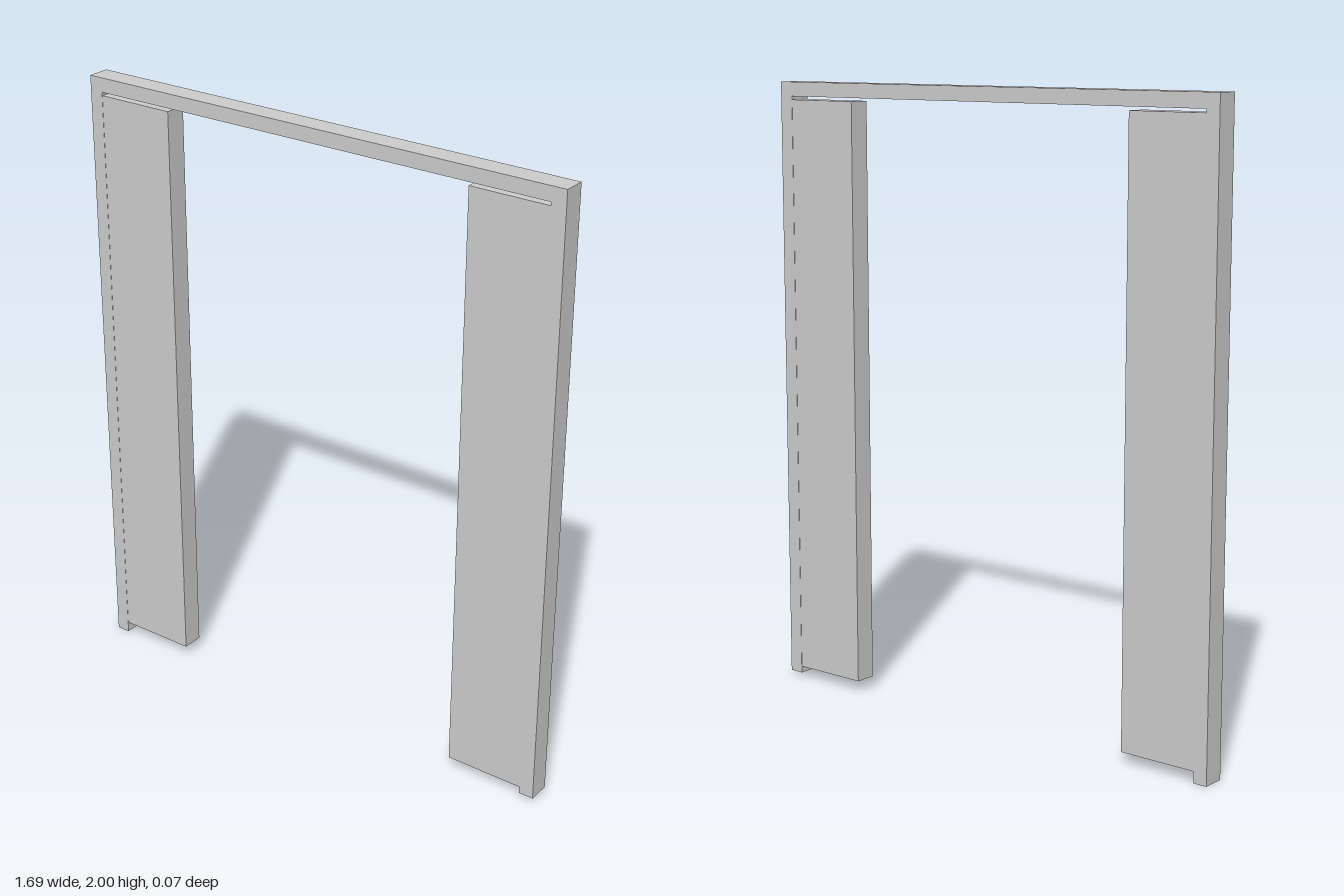
import * as THREE from 'three';

const DEPTH = 0.073;

export function createModel() {
  const group = new THREE.Group();
  const material = new THREE.MeshStandardMaterial({ color: 0xcccccc, flatShading: true });

  // Door frame: two jambs and a header in one piece, right-hand (+x) jamb slightly shorter
  const outline = new THREE.Shape([
    [-0.845, 0], [-0.8, 0], [-0.8, 1.954], [0.797, 1.954],
    [0.797, 0.014], [0.845, 0.014], [0.845, 2], [-0.845, 2],
  ].map(([x, y]) => new THREE.Vector2(x, y)));
  const frameGeometry = new THREE.ExtrudeGeometry(outline, { depth: DEPTH, bevelEnabled: false });
  frameGeometry.translate(0, 0, -DEPTH / 2);
  const frame = new THREE.Mesh(frameGeometry, material);
  frame.name = 'doorFrame';
  group.add(frame);

  // Side panels, set against the jambs with a gap under the header
  const bottom = 0.036, top = 1.943;
  const addPanel = (name, x0, x1) => {
    const panel = new THREE.Mesh(new THREE.BoxGeometry(x1 - x0, top - bottom, DEPTH - 0.002), material);
    panel.position.set((x0 + x1) / 2, (top + bottom) / 2, 0);
    panel.name = name;
    group.add(panel);
  };
  addPanel('rightPanel', -0.8, -0.538);
  addPanel('leftPanel', 0.536, 0.797);

  return group;
}
